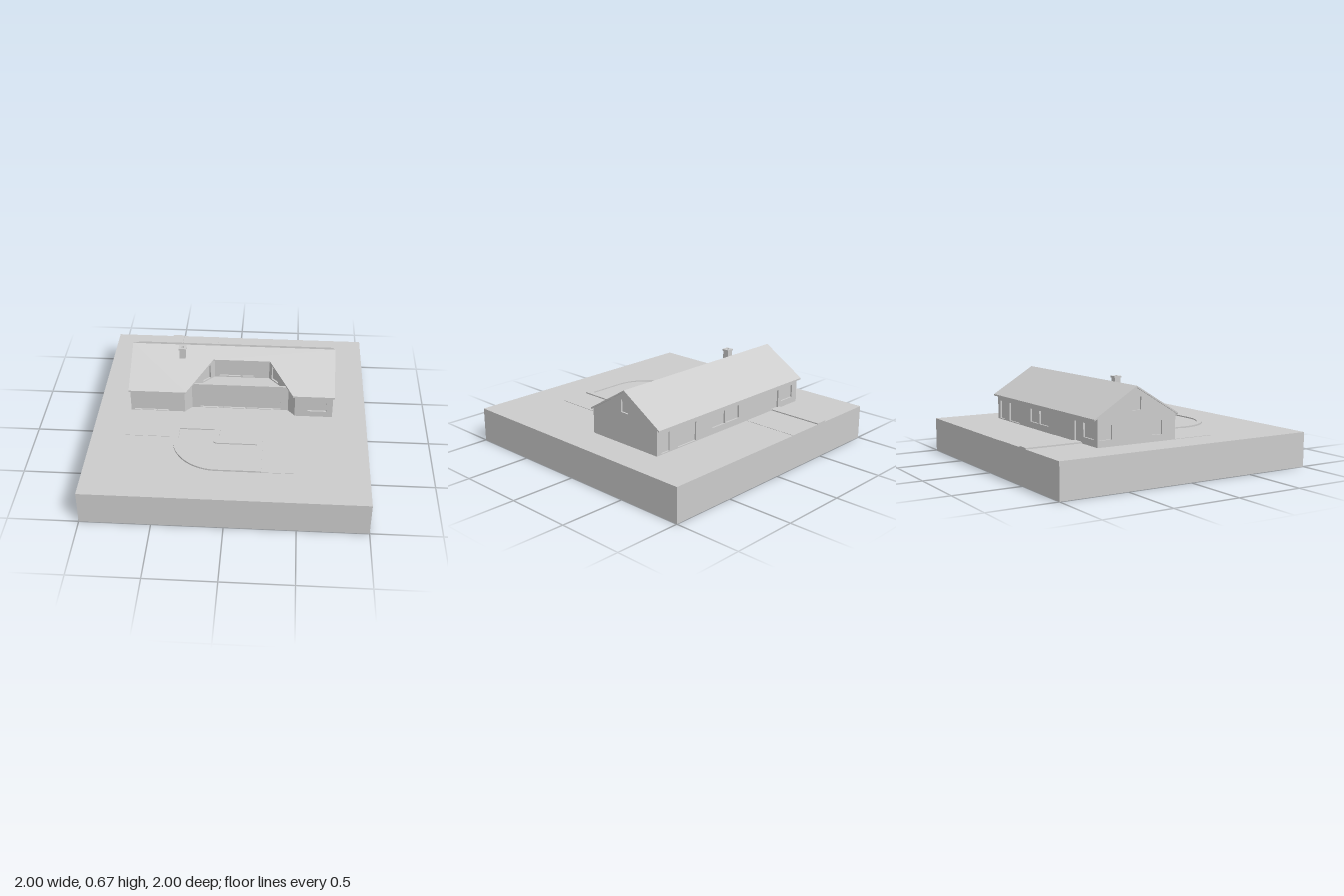
import * as THREE from 'three';

const mat = new THREE.MeshStandardMaterial({ color: 0xcccccc, side: THREE.DoubleSide });
const GROUND = 0.253, WALL = 0.016, ROOF = 0.012;
const RIDGE_Z = -0.28, RIDGE_Y = 0.645, SLOPE = 0.61;

// height of the roof's underside at depth z
const under = z => RIDGE_Y - ROOF - SLOPE * Math.abs(z - RIDGE_Z);

function add(parent, name, geometry) {
  const mesh = new THREE.Mesh(geometry, mat);
  mesh.name = name;
  parent.add(mesh);
  return mesh;
}

// plan points [x, z] become a shape that lies flat after rotateX(-90 degrees)
const plan = pts => new THREE.Shape(pts.map(([x, z]) => new THREE.Vector2(x, -z)));

function slab(shape, y, height) {
  const g = new THREE.ExtrudeGeometry(shape, { depth: height, bevelEnabled: false, curveSegments: 16 });
  return g.rotateX(-Math.PI / 2).translate(0, y, 0);
}

const sheet = (shape, y) => new THREE.ShapeGeometry(shape, 16).rotateX(-Math.PI / 2).translate(0, y, 0);

// L-shaped pool outline with one big round corner, grown outward by o
function poolShape(o) {
  const s = new THREE.Shape();
  s.moveTo(-0.365 - o, -0.255 + o);
  s.lineTo(-0.11 + o, -0.255 + o);
  s.lineTo(-0.11 + o, -0.38 + o);
  s.quadraticCurveTo(-0.11 + o, -0.41 + o, -0.08 + o, -0.41 + o);
  s.lineTo(0.205 + o, -0.41 + o);
  s.lineTo(0.205 + o, -0.665 - o);
  s.lineTo(-0.07, -0.665 - o);
  s.absarc(-0.07, -0.37, 0.295 + o, -Math.PI / 2, -Math.PI, true);
  s.closePath();
  return s;
}

// wall from plan point a to b, outside on the right-hand side of the walk;
// top: [distance, y] points; openings: [s0, s1, y0, y1, y1 at the far end]
function wall(parent, name, a, b, y0, top, openings = []) {
  const len = Math.hypot(b[0] - a[0], b[1] - a[1]);
  const pts = [[0, y0], [len, y0], ...[...top].reverse()];
  const shape = new THREE.Shape(pts.map(p => new THREE.Vector2(...p)));
  const group = new THREE.Group();
  group.name = name;
  for (const [s0, s1, b0, t0, t1 = t0] of openings) {
    const corners = [[s0, b0], [s1, b0], [s1, t1], [s0, t0]].map(p => new THREE.Vector2(...p));
    shape.holes.push(new THREE.Path(corners));
    add(group, 'windowPane', new THREE.ShapeGeometry(new THREE.Shape(corners)).translate(0, 0, -WALL + 0.003));
  }
  const g = new THREE.ExtrudeGeometry(shape, { depth: WALL, bevelEnabled: false });
  add(group, name + 'Panel', g.translate(0, 0, -WALL));
  group.position.set(a[0], 0, a[1]);
  group.rotation.y = Math.atan2(a[1] - b[1], b[0] - a[0]);
  parent.add(group);
}

// wall whose top follows the roof
function roofWall(parent, name, a, b, y0, openings) {
  const len = Math.hypot(b[0] - a[0], b[1] - a[1]);
  const top = [[0, under(a[1])], [len, under(b[1])]];
  if ((a[1] - RIDGE_Z) * (b[1] - RIDGE_Z) < 0)
    top.splice(1, 0, [Math.abs(a[1] - RIDGE_Z), under(RIDGE_Z)]);
  wall(parent, name, a, b, y0, top, openings);
}

function roofSide(parent, name, pts) {
  const g = slab(plan(pts), 0, ROOF);
  const p = g.attributes.position;
  for (let i = 0; i < p.count; i++) p.setY(i, p.getY(i) + under(p.getZ(i)));
  g.computeVertexNormals();
  add(parent, name, g);
}

export function createModel() {
  const model = new THREE.Group();
  model.name = 'houseOnPlot';
  const L = -0.755, R = 0.75, F = 0.04, B = -0.58;
  const footprint = [[L, F], [-0.35, F], [-0.30, -0.02], [0.42, -0.02], [0.47, F], [R, F], [R, B], [L, B]];

  // plot: open underneath, cut out below the house
  const plot = new THREE.Group();
  plot.name = 'plot';
  model.add(plot);
  const lawn = plan([[-1, 1], [1, 1], [1, -1], [-1, -1]]);
  lawn.holes.push(plan(footprint));
  add(plot, 'lawn', sheet(lawn, GROUND));
  for (let i = 0; i < 4; i++) {
    const g = new THREE.PlaneGeometry(2, GROUND).translate(0, GROUND / 2, 1);
    add(plot, 'plotSide', g.rotateY(i * Math.PI / 2));
  }

  // terrace wrapping the pool
  const terrace = new THREE.Shape();
  terrace.moveTo(0.47, -0.705);
  terrace.lineTo(-0.07, -0.705);
  terrace.absarc(-0.07, -0.37, 0.335, -Math.PI / 2, -Math.PI, true);
  for (const [x, z] of [[-0.405, 0.345], [L, 0.345], ...footprint.slice(0, 5)]) terrace.lineTo(x, -z);
  terrace.closePath();
  terrace.holes.push(poolShape(0.02));
  add(plot, 'terrace', slab(terrace, GROUND, 0.003));

  // pool
  const curb = poolShape(0.04);
  curb.holes.push(poolShape(0));
  add(plot, 'poolCurb', slab(curb, GROUND, 0.012));
  add(plot, 'poolWater', sheet(poolShape(0), GROUND + 0.003));

  // path and drive behind the house
  const strip = (x0, x1) => plan([[x0, B], [x1, B], [x1, -1], [x0, -1]]);
  add(plot, 'backPath', slab(strip(-0.55, -0.46), GROUND, 0.01));
  add(plot, 'drive', slab(strip(-0.46, -0.17), GROUND, 0.002));

  // ground floor walls
  const house = new THREE.Group();
  house.name = 'house';
  model.add(house);
  const [p0, p1, p2, p3, p4, p5, p6, p7] = footprint;
  const lo = 0.26, sill = 0.3, hi = 0.397;
  roofWall(house, 'leftWingFront', p0, p1, GROUND, [[0.025, 0.195, lo, hi], [0.2, 0.28, lo, hi]]);
  roofWall(house, 'leftWingCheek', p1, p2, GROUND);
  wall(house, 'recessedFront', p2, p3, GROUND, [[0, 0.468], [0.72, 0.468]],
    [[0.06, 0.23], [0.235, 0.4], [0.41, 0.49], [0.5, 0.665]].map(w => [...w, lo, hi]));
  roofWall(house, 'rightWingCheek', p3, p4, GROUND);
  roofWall(house, 'rightWingFront', p4, p5, GROUND, [[0.095, 0.235, sill, hi]]);
  roofWall(house, 'rightGable', p5, p6, GROUND, [[0.28, 0.35, 0.48, 0.57]]);
  roofWall(house, 'backWall', p6, p7, GROUND, [
    [0.04, 0.12, lo, hi], [0.2, 0.38, lo, hi], [0.55, 0.68, sill, hi],
    [0.69, 0.83, sill, hi], [1.2, 1.285, lo, hi], [1.32, 1.45, sill, hi]]);
  roofWall(house, 'leftGable', p7, p0, GROUND,
    [[0.015, 0.11, sill, hi], [0.27, 0.34, 0.48, 0.57], [0.43, 0.51, sill, hi]]);

  // balcony set into the front roof
  const u0 = [-0.14, -0.19], u1 = [0.27, -0.19], floorY = 0.425;
  add(house, 'balconyFloor', sheet(plan([p2, p3, u1, u0]), floorY));
  roofWall(house, 'balconyLeftCheek', p2, u0, floorY, [[0.117, 0.19, 0.435, 0.515, 0.55]]);
  roofWall(house, 'balconyBack', u0, u1, floorY, [[0.035, 0.195, 0.435, 0.562], [0.21, 0.29, 0.435, 0.562]]);
  roofWall(house, 'balconyRightCheek', u1, p3, floorY, [[0.03, 0.106, 0.435, 0.55, 0.515]]);

  // roof
  const rl = -0.765, rr = 0.76, rf = 0.055, rb = -0.61;
  roofSide(house, 'frontRoof', [[rl, rf], [-0.34, rf], [-0.15, -0.18], [0.275, -0.18], [0.455, rf],
    [rr, rf], [rr, RIDGE_Z], [rl, RIDGE_Z]]);
  roofSide(house, 'backRoof', [[rl, RIDGE_Z], [rr, RIDGE_Z], [rr, rb], [rl, rb]]);

  // chimney
  const chimney = new THREE.Group();
  chimney.name = 'chimney';
  chimney.position.set(-0.382, 0, -0.205);
  house.add(chimney);
  add(chimney, 'chimneyStack', new THREE.BoxGeometry(0.046, 0.1, 0.046).translate(0, 0.61, 0));
  const cap = new THREE.Shape([[-1, -1], [1, -1], [1, 1], [-1, 1]].map(([x, y]) => new THREE.Vector2(x * 0.028, y * 0.028)));
  cap.holes.push(new THREE.Path().absarc(0, 0, 0.01, 0, Math.PI * 2));
  add(chimney, 'chimneyCap', slab(cap, 0.658, 0.013));

  return model;
}
